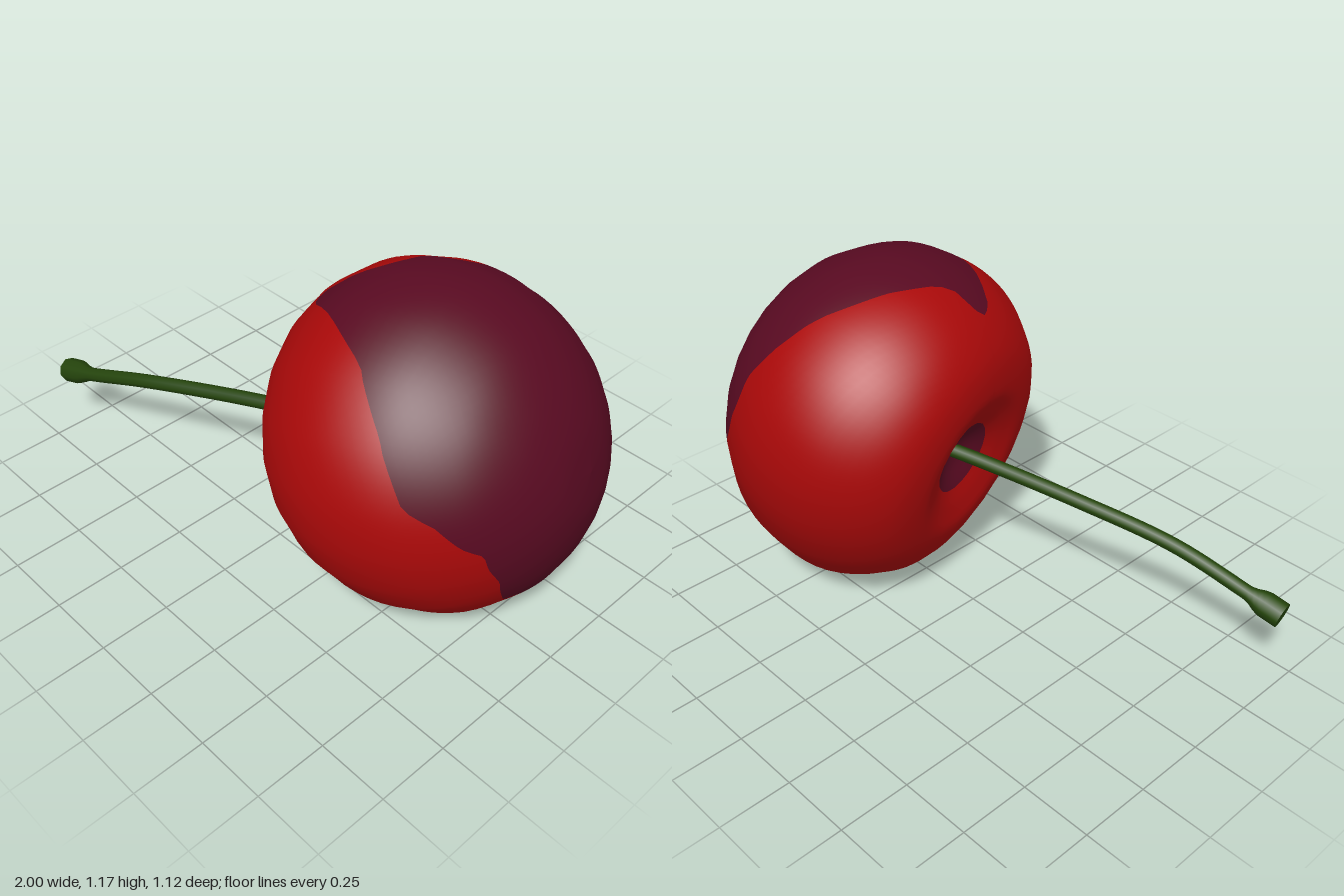
import * as THREE from 'three';

const red = new THREE.MeshStandardMaterial({ color: 0xaa0909 });
red.name = 'cherryRed';
const maroon = new THREE.MeshStandardMaterial({ color: 0x580a21 });
maroon.name = 'darkMaroon';
const green = new THREE.MeshStandardMaterial({ color: 0x25450c });
green.name = 'stemGreen';

// Fruit profile (radius, height along the core) from the rounded end to the dimple
const profile = new THREE.SplineCurve([
  [0, 0.53], [0.15, 0.512], [0.3, 0.45], [0.43, 0.348], [0.532, 0.195], [0.573, 0.035], [0.562, -0.125],
  [0.498, -0.267], [0.4, -0.365], [0.28, -0.405], [0.2, -0.39], [0.13, -0.36], [0.06, -0.325], [0, -0.31],
].map(([r, h]) => new THREE.Vector2(r, h)));
const DIMPLE = 11 / 13;
const RIM = 9 / 13;

// Wavy edge of the dark blush: angle round the core in degrees, height along it
const blushEdge = [
  [-190, 0.315], [-170, 0.305], [-149, 0.36], [-123, 0.355], [-107, 0.33], [-85, 0.29], [-62, 0.26],
  [-37, 0.14], [-13, -0.03], [2, -0.12], [6, -0.17], [9, -0.25], [13, -0.275], [18, -0.235], [25, -0.115],
  [38, 0.06], [56, 0.16], [76, 0.22], [84, 0.29], [103, 0.375], [128, 0.37], [149, 0.32], [170, 0.315], [190, 0.305],
];

function edgeHeight(deg) {
  let i = 1;
  while (blushEdge[i][0] < deg) i++;
  const [a, b] = [blushEdge[i - 1], blushEdge[i]];
  return a[1] + (b[1] - a[1]) * (deg - a[0]) / (b[0] - a[0]);
}

// Profile parameter at a given height, between the rounded end and the rim
function paramAt(height) {
  let lo = 0, hi = RIM;
  for (let i = 0; i < 30; i++) {
    const mid = (lo + hi) / 2;
    if (profile.getPoint(mid).y > height) lo = mid; else hi = mid;
  }
  return lo;
}

// Slightly oval, twenty-sided cross-section: radius factor at an angle
function ovalFactor(a) {
  const WIDE = 1.05, NARROW = 0.94, step = Math.PI / 10;
  const b = a - THREE.MathUtils.degToRad(32);
  const local = THREE.MathUtils.euclideanModulo(b + step / 2, step) - step / 2;
  const facet = Math.cos(step / 2) / Math.cos(local);
  return 1.005 * facet / Math.hypot(Math.cos(b) / WIDE, Math.sin(b) / NARROW);
}

// Band of skin between two profile limits, each a function of the angle
function skinBand(name, from, to, rows, material) {
  const COLS = 120;
  const pos = [], nor = [], idx = [];
  for (let j = 0; j <= COLS; j++) {
    const deg = -180 + 360 * j / COLS;
    const a = THREE.MathUtils.degToRad(deg);
    const factor = ovalFactor(a);
    const t0 = from(deg), t1 = to(deg);
    for (let i = 0; i <= rows; i++) {
      const t = t0 + (t1 - t0) * i / rows;
      const p = profile.getPoint(t);
      const r = Math.max(p.x, 0) * factor;
      const before = profile.getPoint(Math.max(t - 0.002, 0));
      const d = profile.getPoint(Math.min(t + 0.002, 1)).sub(before).normalize();
      pos.push(r * Math.cos(a), r * Math.sin(a), p.y);
      nor.push(-d.y * Math.cos(a), -d.y * Math.sin(a), d.x);
      if (i < rows && j < COLS) {
        const k = j * (rows + 1) + i, n = k + rows + 1;
        idx.push(k, k + 1, n + 1, k, n + 1, n);
      }
    }
  }
  const g = new THREE.BufferGeometry();
  g.setAttribute('position', new THREE.Float32BufferAttribute(pos, 3));
  g.setAttribute('normal', new THREE.Float32BufferAttribute(nor, 3));
  g.setIndex(idx);
  const mesh = new THREE.Mesh(g, material);
  mesh.name = name;
  return mesh;
}

function createFruit() {
  const fruit = new THREE.Group();
  fruit.name = 'fruit';
  const edge = (deg) => paramAt(edgeHeight(deg));
  fruit.add(
    skinBand('darkBlush', () => 0, edge, 24, maroon),
    skinBand('redSkin', edge, () => DIMPLE, 28, red),
    skinBand('dimpleFloor', () => DIMPLE, () => 1, 8, maroon),
  );
  // Lay the fruit on its side, dimple towards the stem
  const core = new THREE.Vector3(0.957, 0.21, -0.19).normalize();
  const side = new THREE.Vector3().crossVectors(core, new THREE.Vector3(0, 1, 0)).normalize();
  const up = new THREE.Vector3().crossVectors(side, core);
  fruit.quaternion.setFromRotationMatrix(new THREE.Matrix4().makeBasis(up, side, core));
  fruit.position.set(0.47, 0.583, 0);
  return fruit;
}

function createStem() {
  const stem = new THREE.Group();
  stem.name = 'stem';
  const curve = new THREE.CatmullRomCurve3([
    [0.22, 0.52, 0.055], [0.05, 0.495, 0.12], [-0.27, 0.447, 0.23],
    [-0.6, 0.383, 0.34], [-0.87, 0.3, 0.403], [-0.985, 0.27, 0.422],
  ].map((p) => new THREE.Vector3(...p)));
  const SEG = 60, SIDES = 8;
  const g = new THREE.TubeGeometry(curve, SEG, 1, SIDES);
  const p = g.attributes.position, v = new THREE.Vector3();
  // Thin stalk that flares into a knob at the free end
  for (let i = 0; i <= SEG; i++) {
    const c = curve.getPointAt(i / SEG);
    const radius = 0.025 + 0.019 * THREE.MathUtils.smoothstep(i / SEG, 0.9, 0.95);
    for (let j = 0; j <= SIDES; j++) {
      const k = i * (SIDES + 1) + j;
      v.fromBufferAttribute(p, k).sub(c).multiplyScalar(radius).add(c);
      p.setXYZ(k, v.x, v.y, v.z);
    }
  }
  const stalk = new THREE.Mesh(g, green);
  stalk.name = 'stalk';
  const end = new THREE.Mesh(new THREE.CircleGeometry(0.044, 16), green);
  end.name = 'stemEnd';
  end.position.copy(curve.getPointAt(1));
  end.quaternion.setFromUnitVectors(new THREE.Vector3(0, 0, 1), curve.getTangentAt(1));
  stem.add(stalk, end);
  return stem;
}

export function createModel() {
  const model = new THREE.Group();
  model.name = 'cherry';
  model.add(createFruit(), createStem());
  return model;
}
